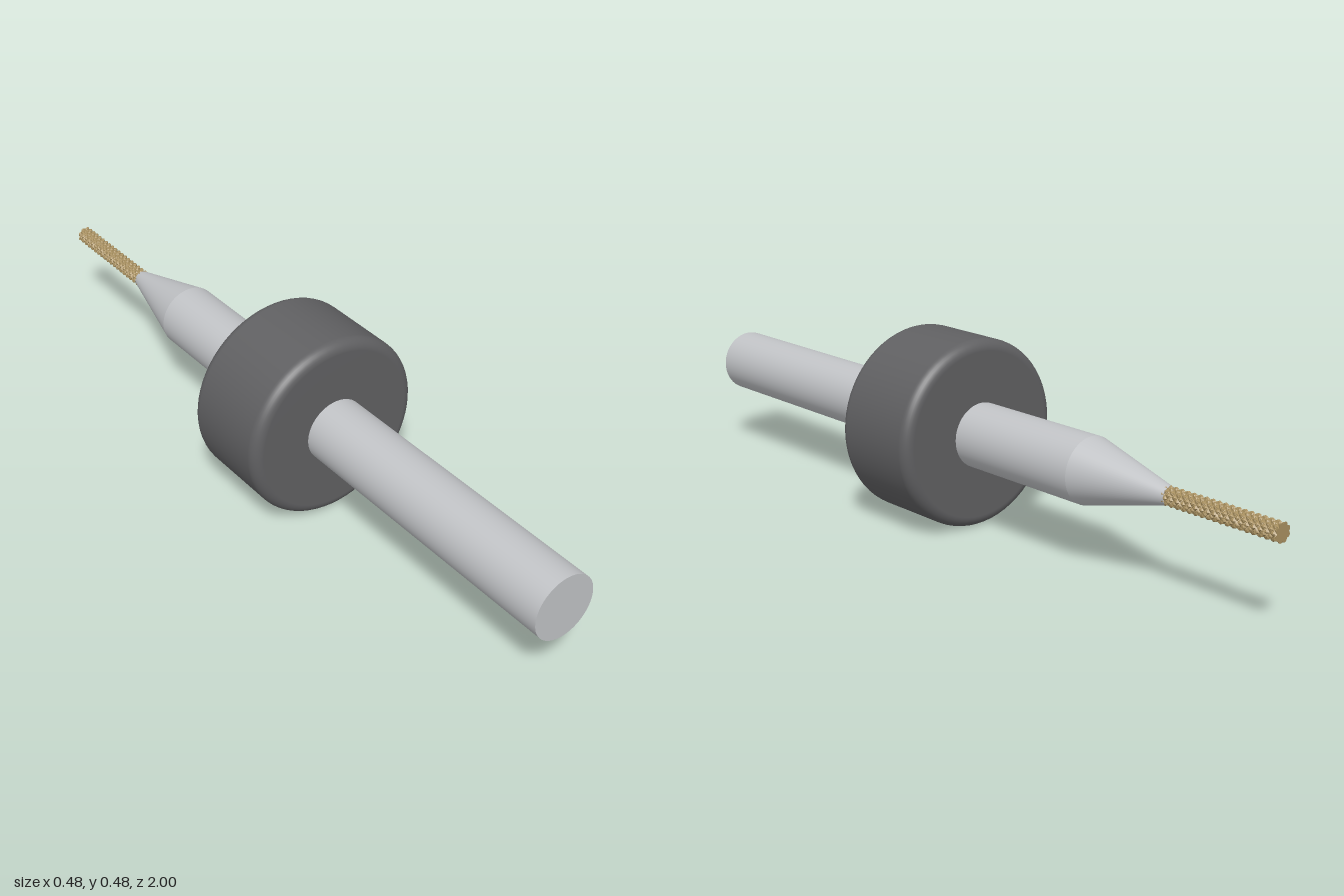
import * as THREE from 'three';

const steel = new THREE.MeshStandardMaterial({ color: 0xc0c2c5 });
steel.name = 'polished steel';
const plastic = new THREE.MeshStandardMaterial({ color: 0x606062 });
plastic.name = 'dark grey plastic';
const brass = new THREE.MeshStandardMaterial({ color: 0xa89060 });
brass.name = 'golden coating';

const AXIS_Y = 0.242;

// Adds a part whose own y axis is laid along z
function addPart(group, name, geometry, material, z = 0) {
  geometry.rotateX(Math.PI / 2);
  const mesh = new THREE.Mesh(geometry, material);
  mesh.name = name;
  mesh.position.set(0, AXIS_Y, z);
  group.add(mesh);
}

// Depth-stop ring with rounded rims, seated on the shank
function ringGeometry(inner, outer, back, front, bevel) {
  const points = [new THREE.Vector2(inner, back)];
  const arc = (y, from) => {
    for (let i = 0; i <= 8; i++) {
      const a = from + (i / 8) * (Math.PI / 2);
      points.push(new THREE.Vector2(outer - bevel + bevel * Math.cos(a), y + bevel * Math.sin(a)));
    }
  };
  arc(back + bevel, -Math.PI / 2);
  arc(front - bevel, 0);
  points.push(new THREE.Vector2(inner, front));
  return new THREE.LatheGeometry(points, 64);
}

// Cutting end: crossed helical grooves leave small pointed teeth
function cutterGeometry(radius, length) {
  const source = new THREE.CylinderGeometry(radius, radius, length, 48, 120);
  const p = source.attributes.position;
  const ridge = (t) => Math.abs(Math.sin(t));
  for (let i = 0; i < p.count; i++) {
    const x = p.getX(i), z = p.getZ(i);
    if (Math.hypot(x, z) < radius * 0.5) continue;
    const turn = 4 * Math.atan2(z, x);
    const along = (p.getY(i) / length) * Math.PI * 18;
    const r = radius - 0.005 + 0.005 * Math.min(ridge(turn + along), ridge(turn - along));
    const k = r / Math.hypot(x, z);
    p.setX(i, x * k);
    p.setZ(i, z * k);
  }
  const faceted = source.toNonIndexed();
  faceted.computeVertexNormals();
  return faceted;
}

export function createModel() {
  const group = new THREE.Group();
  group.name = 'milling bit';

  addPart(group, 'shank', new THREE.CylinderGeometry(0.083, 0.083, 1.44, 64), steel, 0.28);
  addPart(group, 'taperedNeck', new THREE.CylinderGeometry(0.083, 0.022, 0.245, 64), steel, -0.5625);
  addPart(group, 'depthRing', ringGeometry(0.08, 0.241, -0.052, 0.21, 0.028), plastic);
  addPart(group, 'cutter', cutterGeometry(0.024, 0.32), brass, -0.84);

  return group;
}
